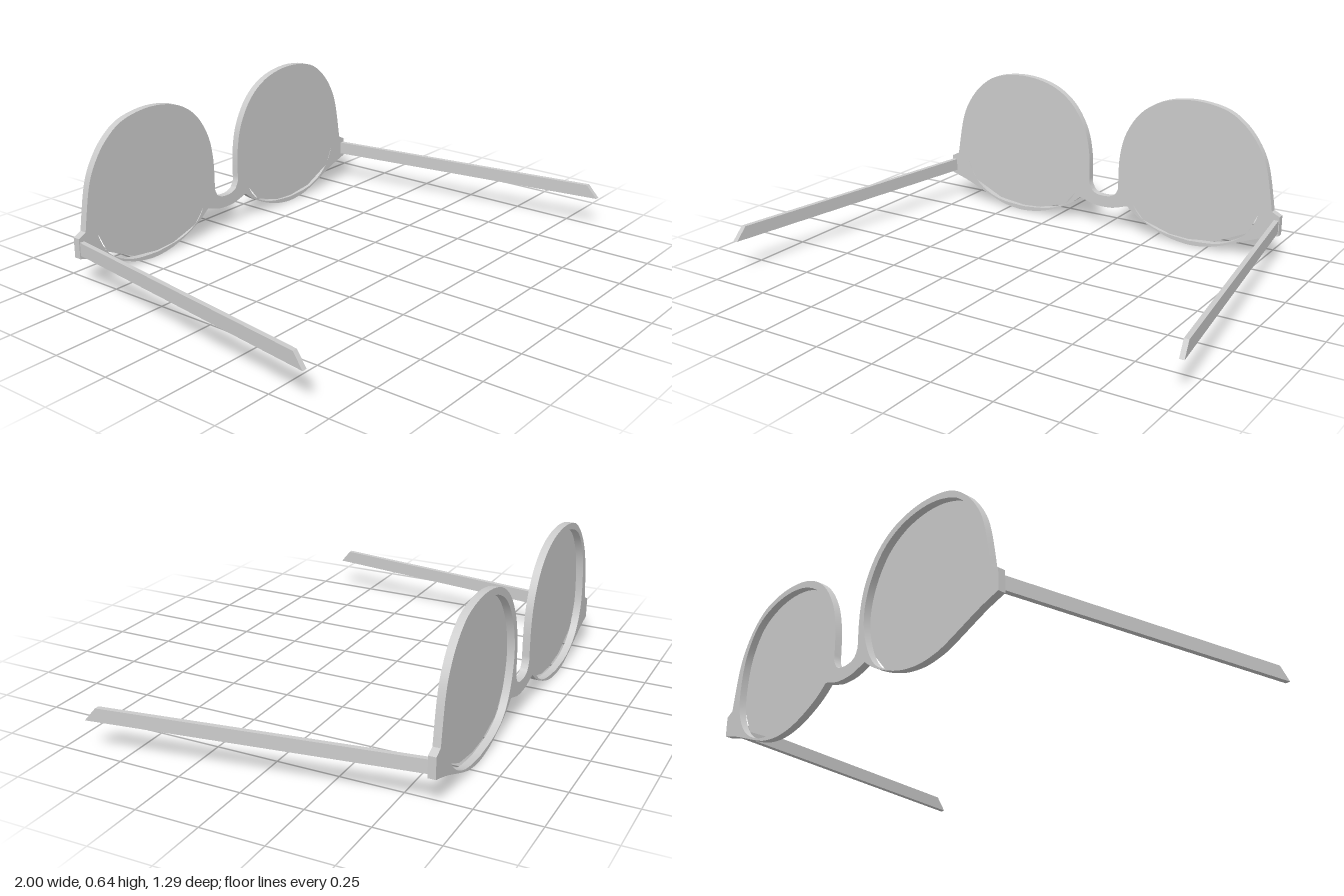
import * as THREE from 'three';
import { toCreasedNormals } from 'three/addons/utils/BufferGeometryUtils.js';

const vec = (pts) => pts.map(([x, y]) => new THREE.Vector2(x, y));
const smooth = (pts, n = 4, closed = false) => {
  const list = vec(pts);
  if (closed) list.push(list[0].clone());
  return new THREE.SplineCurve(list).getPoints(n * pts.length);
};
const mirror = (pts) => pts.map((p) => new THREE.Vector2(-p.x, p.y)).reverse();

// Half outline of the frame, counter-clockwise from bridge underside to bridge top
const BRIDGE_UNDER = [[0, 0.098], [0.05, 0.102], [0.118, 0.122]];
const LOWER_RIM = [[0.118, 0.122], [0.17, 0.083], [0.245, 0.045], [0.33, 0.016], [0.42, 0.004],
  [0.5, 0.011], [0.57, 0.03], [0.73, 0.094], [0.82, 0.122]];
const UPPER_RIM = [[0.785, 0.222], [0.755, 0.39], [0.715, 0.485], [0.65, 0.565], [0.56, 0.62],
  [0.42, 0.64], [0.28, 0.617], [0.175, 0.553], [0.105, 0.45], [0.076, 0.335], [0.072, 0.195]];
const BRIDGE_TOP = [[0.072, 0.195], [0.056, 0.165], [0.03, 0.152], [0, 0.149]];

// Lens opening and the coarser lens pane
const OPENING = [[0.42, 0.022], [0.56, 0.036], [0.67, 0.095], [0.727, 0.2], [0.73, 0.33],
  [0.703, 0.45], [0.635, 0.55], [0.535, 0.6], [0.42, 0.615], [0.3, 0.595], [0.2, 0.535],
  [0.13, 0.43], [0.102, 0.31], [0.122, 0.19], [0.18, 0.09], [0.28, 0.04]];
const LENS = [[0.42, 0.03], [0.545, 0.045], [0.685, 0.11], [0.74, 0.225], [0.74, 0.4],
  [0.7, 0.485], [0.605, 0.59], [0.51, 0.632], [0.42, 0.637], [0.29, 0.616], [0.17, 0.54],
  [0.107, 0.415], [0.093, 0.33], [0.097, 0.23], [0.122, 0.165], [0.2, 0.075], [0.33, 0.036]];

const BACK = -0.645;
const DEPTH = 0.03;

function frameGeometry() {
  const half = [
    ...smooth(BRIDGE_UNDER),
    ...smooth(LOWER_RIM).slice(1),
    ...vec([[0.82, 0.205]]),
    ...smooth(UPPER_RIM),
    ...smooth(BRIDGE_TOP).slice(1),
  ];
  const shape = new THREE.Shape([...half, ...mirror(half).slice(1, -1)]);
  const hole = smooth(OPENING, 4, true).slice(0, -1);
  shape.holes.push(new THREE.Path(hole), new THREE.Path(mirror(hole)));
  const geo = new THREE.ExtrudeGeometry(shape, { depth: DEPTH, bevelEnabled: false });
  geo.translate(0, 0, BACK);
  return toCreasedNormals(geo, 0.5);
}

// Straight arm splayed outwards, with a slanted tip
function templeGeometry(side) {
  const geo = new THREE.BoxGeometry(0.02, 0.054, 1);
  const pos = geo.attributes.position;
  for (let i = 0; i < pos.count; i++) {
    const top = pos.getY(i) > 0;
    const z = pos.getZ(i) < 0 ? -0.622 : top ? 0.6 : 0.645;
    const x = 0.805 + 0.185 * (z + 0.622) / 1.267;
    pos.setXYZ(i, side * x + pos.getX(i), 0.162 + pos.getY(i), z);
  }
  const flat = geo.toNonIndexed();
  flat.computeVertexNormals();
  return flat;
}

export function createModel() {
  const group = new THREE.Group();
  const grey = new THREE.MeshStandardMaterial({ color: 0xcccccc });
  const thin = new THREE.MeshStandardMaterial({ color: 0xcccccc, side: THREE.DoubleSide });
  const add = (name, geo, mat) => {
    const mesh = new THREE.Mesh(geo, mat);
    mesh.name = name;
    group.add(mesh);
  };

  add('frame', frameGeometry(), grey);

  for (const [label, side] of [['left', 1], ['right', -1]]) {
    // Thin pane sitting on the face of the rim
    const outline = side > 0 ? vec(LENS) : mirror(vec(LENS));
    const pane = new THREE.ShapeGeometry(new THREE.Shape(outline));
    pane.translate(0, 0, BACK + DEPTH + 0.001);
    add(label + 'Lens', pane, thin);
    add(label + 'Temple', templeGeometry(side), grey);
  }
  return group;
}
